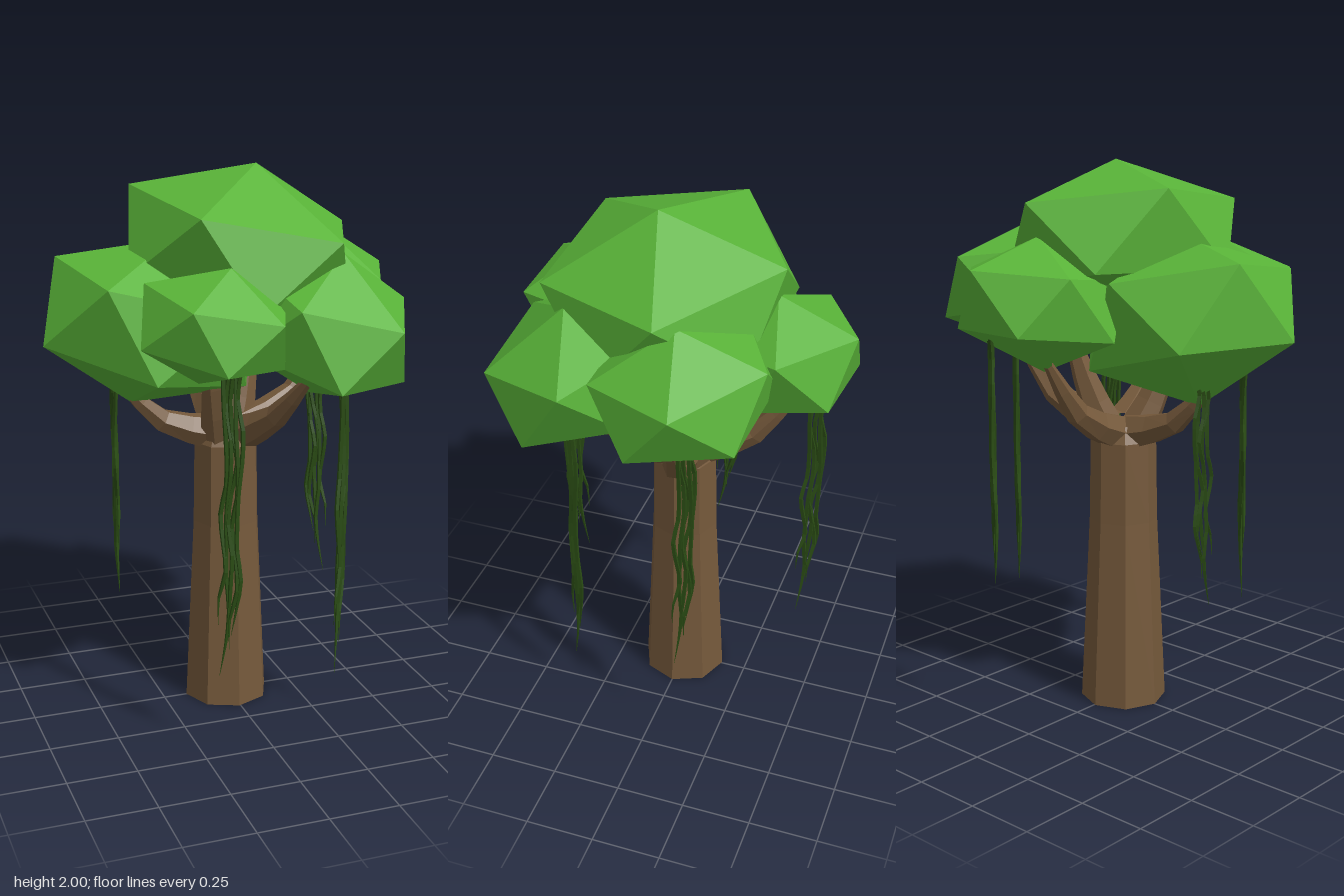
import * as THREE from 'three';
import { ConvexGeometry } from 'three/addons/geometries/ConvexGeometry.js';

const leafGreen = new THREE.MeshStandardMaterial({ name: 'leafGreen', color: 0x59b338 });
const barkBrown = new THREE.MeshStandardMaterial({ name: 'barkBrown', color: 0x75593b });
const vineGreen = new THREE.MeshStandardMaterial({ name: 'vineGreen', color: 0x2a4c14 });

const V = (p) => new THREE.Vector3(...p);

function flat(geometry) {
  const g = geometry.index ? geometry.toNonIndexed() : geometry;
  g.computeVertexNormals();
  return g;
}

function part(name, geometry, material) {
  const mesh = new THREE.Mesh(flat(geometry), material);
  mesh.name = name;
  return mesh;
}

// Stretched icosahedron from its centre, apex and two neighbouring corners of the upper ring
function leafClump(centre, apex, cornerA, cornerB) {
  const c = V(centre), axis = V(apex).sub(c);
  const mid = c.clone().addScaledVector(axis, 1 / Math.sqrt(5));
  const step = Math.PI * 0.4;
  const u = V(cornerA).sub(mid);
  const w = V(cornerB).sub(mid).addScaledVector(u, -Math.cos(step)).divideScalar(Math.sin(step));
  const upper = [V(apex)];
  for (let k = 0; k < 5; k++) {
    upper.push(mid.clone().addScaledVector(u, Math.cos(k * step)).addScaledVector(w, Math.sin(k * step)));
  }
  const lower = upper.map((p) => c.clone().multiplyScalar(2).sub(p));
  return new ConvexGeometry([...upper, ...lower]);
}

// Tube along a smooth path whose radius follows a rule of t
function taperedTube(points, segments, sides, radiusAt) {
  const curve = new THREE.CatmullRomCurve3(points);
  const g = new THREE.TubeGeometry(curve, segments, 1, sides);
  const pos = g.attributes.position, v = new THREE.Vector3();
  for (let i = 0; i < pos.count; i++) {
    const t = Math.floor(i / (sides + 1)) / segments;
    const centre = curve.getPointAt(t);
    v.fromBufferAttribute(pos, i).sub(centre).multiplyScalar(radiusAt(t)).add(centre);
    pos.setXYZ(i, v.x, v.y, v.z);
  }
  return g;
}

export function createModel() {
  const tree = new THREE.Group();
  tree.name = 'tree';

  // Eight-sided trunk, closed at both ends
  const profile = [[0, 0], [0.158, 0], [0.125, 0.7], [0.12, 1.0], [0.09, 1.06], [0, 1.06]];
  const trunk = part('trunk', new THREE.LatheGeometry(profile.map((p) => new THREE.Vector2(...p)), 8), barkBrown);
  trunk.position.x = -0.005;
  tree.add(trunk);

  // Branches fanning out to the leaf clumps
  const branches = new THREE.Group();
  branches.name = 'branches';
  const branchPaths = [
    [[-0.04, 1.03, 0], [-0.24, 1.09, 0], [-0.4, 1.25, 0.01]],
    [[0.04, 1.03, -0.01], [0.27, 1.13, -0.06], [0.44, 1.36, -0.1]],
    [[0.04, 1.03, 0.04], [0.1, 1.13, 0.22], [0.16, 1.3, 0.38]],
    [[-0.04, 1.03, 0.03], [-0.08, 1.18, 0.1], [-0.14, 1.46, 0.19]],
    [[-0.01, 1.03, -0.04], [-0.02, 1.12, -0.24], [-0.03, 1.33, -0.41]],
    [[0.04, 1.03, -0.04], [0.09, 1.18, -0.08], [0.15, 1.45, -0.14]],
  ];
  for (const path of branchPaths) {
    branches.add(part('branch', taperedTube(path.map(V), 4, 6, (t) => 0.07 - 0.053 * t), barkBrown));
  }
  tree.add(branches);

  // Leaf clumps: centre, apex, two neighbouring upper corners
  const clumps = {
    crownClump: [[0.035, 1.705, 0.03], [0.085, 2.0, 0.06], [0.46, 1.77, -0.05], [0.265, 1.765, 0.412]],
    frontLeftClump: [[0.26, 1.47, 0.29], [0.31, 1.715, 0.31], [0.582, 1.53, 0.23], [0.425, 1.48, 0.562]],
    frontRightClump: [[-0.178, 1.51, 0.385], [-0.13, 1.705, 0.41], [-0.02, 1.545, 0.613], [-0.315, 1.6, 0.58]],
    rightClump: [[-0.29, 1.463, 0.03], [-0.22, 1.755, 0.06], [-0.515, 1.635, 0.305], [-0.597, 1.69, -0.095]],
    leftClump: [[0.365, 1.54, -0.125], [0.395, 1.76, -0.105], [0.673, 1.59, -0.175], [0.41, 1.665, -0.415]],
    backClump: [[0.048, 1.525, -0.362], [0.07, 1.755, -0.35], [0.105, 1.66, -0.632], [-0.19, 1.64, -0.465]],
  };
  for (const [name, points] of Object.entries(clumps)) {
    tree.add(part(name, leafClump(...points), leafGreen));
  }

  // Hanging vines, each a flat bundle: x, z, top, bottom, heading of the bundle in degrees
  const vineSpots = [
    [-0.16, 0.515, 1.4, 0.3, 225],
    [0.33, 0.305, 1.36, 0.17, 135],
    [0.405, -0.145, 1.4, 0.38, 45],
    [-0.41, -0.05, 1.3, 0.45, 100],
    [0.135, -0.52, 1.43, 0.52, 45],
  ];
  for (const [x, z, top, bottom, degrees] of vineSpots) {
    const vine = new THREE.Group();
    vine.name = 'vine';
    vine.position.set(x, 0, z);
    vine.rotation.y = -THREE.MathUtils.degToRad(degrees);
    for (let s = 0; s < 5; s++) {
      const end = bottom + [0.16, 0.11, 0.13, 0, 0.19][s];
      const points = [];
      for (let k = 0; k <= 9; k++) {
        const t = k / 9;
        const across = 0.014 * (s - 2) + 0.01 * Math.sin(k * 1.6) + 0.006 * Math.sin(k * 2.3 + s * 2);
        points.push(new THREE.Vector3(across + 0.02 * t * t, top + (end - top) * t, 0.004 * Math.sin(k + s * 2.5)));
      }
      vine.add(part('strand', taperedTube(points, 18, 4, (t) => 0.0085 * Math.min(1, (1 - t) * 5 + 0.05)), vineGreen));
    }
    tree.add(vine);
  }

  return tree;
}
